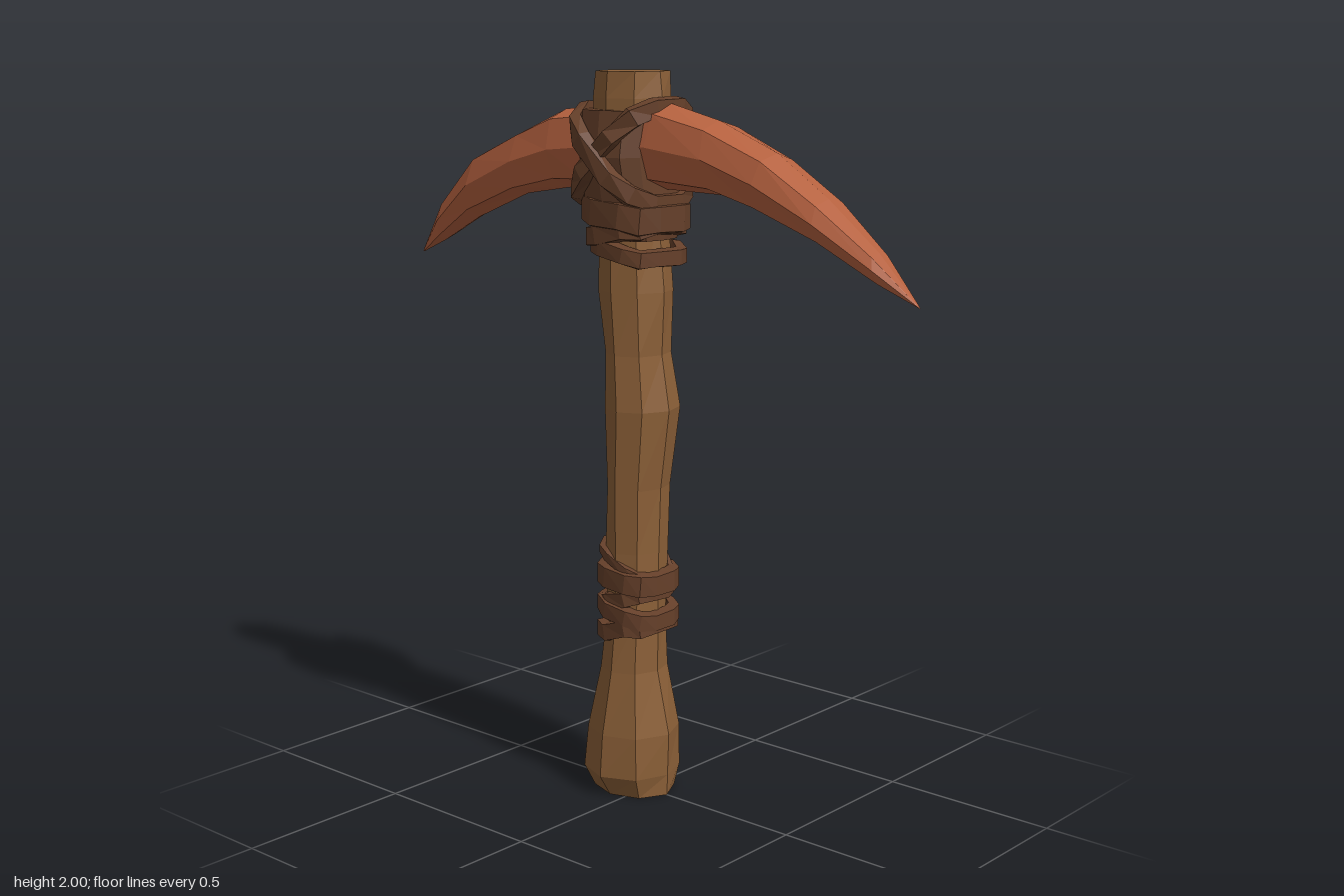
import * as THREE from 'three';

const V = (x, y, z) => new THREE.Vector3(x, y, z);
const material = (color) => new THREE.MeshStandardMaterial({ color, flatShading: true, roughness: 0.9 });
const wood = material(0x8c6038);
const horn = material(0xb5613f);
const leather = material(0x66402a);

// Repeatable unevenness in the range -1..1
const wobble = (i, j) => Math.sin(i * 12.9 + j * 7.3 + 1.7) * Math.cos(i * 3.1 - j * 5.7);

// Faceted skin over rings of points; rings run counter-clockwise about the direction of travel
function loft(rings, closed = false) {
  const out = [];
  const tri = (...ps) => ps.forEach((p) => out.push(p.x, p.y, p.z));
  const n = rings[0].length;
  const last = rings.length - 1;
  for (let i = 0; i < (closed ? last + 1 : last); i++) {
    const r = rings[i];
    const s = rings[(i + 1) % rings.length];
    for (let j = 0; j < n; j++) {
      const k = (j + 1) % n;
      tri(r[j], r[k], s[k]);
      tri(r[j], s[k], s[j]);
    }
  }
  if (!closed) {
    const middle = (r) => r.reduce((m, p) => m.add(p), V(0, 0, 0)).divideScalar(n);
    const a = middle(rings[0]);
    const b = middle(rings[last]);
    for (let j = 0; j < n; j++) {
      const k = (j + 1) % n;
      tri(a, rings[0][k], rings[0][j]);
      tri(b, rings[last][j], rings[last][k]);
    }
  }
  const geometry = new THREE.BufferGeometry();
  geometry.setAttribute('position', new THREE.Float32BufferAttribute(out, 3));
  geometry.computeVertexNormals();
  return geometry;
}

function part(name, geometry, mat) {
  const mesh = new THREE.Mesh(geometry, mat);
  mesh.name = name;
  return mesh;
}

// Upright post from rows of [y, centre x, centre z, radius x, radius z]
function post(rows, sides, rough, power = 1) {
  const soft = (v) => Math.sign(v) * Math.abs(v) ** power;
  return loft(rows.map(([y, cx, cz, rx, rz], i) =>
    Array.from({ length: sides }, (_, j) => {
      const a = (j / sides) * Math.PI * 2;
      const k = 1 + rough * wobble(i, j);
      return V(cx + rx * k * soft(Math.sin(a)), y, cz + rz * k * soft(Math.cos(a)));
    })));
}

// Flat strip wound once round the handle; tilt raises its front and lowers its back
function strap({ y, tilt = 0, z = -0.035, rx, rz, width, thick = 0.03, bulge = 0 }) {
  const count = 12;
  const soft = (v) => Math.sign(v) * Math.abs(v) ** 0.7;
  const path = Array.from({ length: count }, (_, i) => {
    const a = ((i + 0.5) / count) * Math.PI * 2;
    const s = soft(Math.sin(a));
    const c = soft(Math.cos(a));
    return V((rx + bulge * Math.abs(s)) * s, y + tilt * c + 0.006 * wobble(i, y * 10), z + rz * c);
  });
  return loft(path.map((p, i) => {
    const t = path[(i + 1) % count].clone().sub(path[(i + count - 1) % count]).normalize();
    const o = V(t.z, 0, -t.x).negate();
    if (o.dot(V(p.x, 0, p.z - z)) < 0) o.negate();
    o.normalize();
    const up = o.clone().cross(t).normalize();
    const w = (width / 2) * (1 + 0.14 * wobble(i, 3));
    return [[1, 1], [-1, 1], [-1, -1], [1, -1]].map(([v, d]) =>
      p.clone().addScaledVector(up, v * w * (d > 0 ? 0.8 : 1)).addScaledVector(o, d * thick / 2));
  }), true);
}

export function createModel() {
  const model = new THREE.Group();
  model.name = 'pickaxe';

  // Rough-hewn handle with a heavy butt
  model.add(part('handle', post([
    [0, 0, -0.045, 0.105, 0.12],
    [0.06, 0, -0.05, 0.132, 0.135],
    [0.18, 0, -0.048, 0.132, 0.13],
    [0.36, -0.006, -0.037, 0.096, 0.087],
    [0.52, -0.004, -0.032, 0.088, 0.08],
    [0.7, -0.004, -0.03, 0.088, 0.08],
    [0.88, 0, -0.025, 0.098, 0.08],
    [1.1, 0, -0.013, 0.108, 0.094],
    [1.25, 0, -0.025, 0.096, 0.085],
    [1.42, 0, -0.038, 0.102, 0.1],
    [1.6, 0, -0.04, 0.095, 0.09],
    [1.93, 0, -0.05, 0.105, 0.105],
    [2, 0, -0.045, 0.098, 0.096],
  ], 8, 0.035), wood));

  // Double-pointed curved head: [top z, top y, bottom z, bottom y, half width]
  const sections = [
    [-0.878, 1.462, -0.876, 1.458, 0.003],
    [-0.76, 1.62, -0.78, 1.5, 0.045],
    [-0.6, 1.765, -0.64, 1.575, 0.072],
    [-0.42, 1.84, -0.44, 1.655, 0.085],
    [-0.29, 1.893, -0.28, 1.68, 0.088],
    [-0.17, 1.905, -0.16, 1.69, 0.088],
    [0.08, 1.92, 0.06, 1.695, 0.09],
    [0.25, 1.88, 0.27, 1.69, 0.092],
    [0.44, 1.805, 0.41, 1.655, 0.09],
    [0.6, 1.70, 0.605, 1.585, 0.075],
    [0.753, 1.58, 0.775, 1.50, 0.045],
    [0.873, 1.459, 0.875, 1.455, 0.003],
  ];
  model.add(part('pickHead', loft(sections.map(([tz, ty, bz, by, hw], i) => {
    const top = V(0, ty, tz);
    const bottom = V(0, by, bz);
    const centre = top.clone().add(bottom).divideScalar(2);
    const up = top.sub(centre);
    return Array.from({ length: 8 }, (_, j) => {
      const a = (j / 8) * Math.PI * 2;
      const k = j % 2 ? 1.08 + 0.05 * wobble(i, j) : 1;
      return centre.clone().addScaledVector(up, Math.sin(a) * k).add(V(hw * k * Math.cos(a), 0, 0));
    });
  })), horn));

  // Leather packed round the joint
  model.add(part('jointWrap', post([
    [1.56, 0, -0.035, 0.1, 0.1],
    [1.66, 0, -0.04, 0.128, 0.118],
    [1.78, 0, -0.047, 0.145, 0.115],
    [1.9, 0, -0.05, 0.125, 0.12],
  ], 12, 0.02, 0.7), leather));

  // Crossed lashings over the head and rings below it
  const lashings = new THREE.Group();
  lashings.name = 'headLashings';
  [
    { y: 1.785, tilt: 0.125, z: -0.05, rx: 0.115, rz: 0.128, width: 0.055, bulge: 0.03 },
    { y: 1.775, tilt: -0.118, z: -0.05, rx: 0.12, rz: 0.124, width: 0.055, bulge: 0.034 },
    { y: 1.63, tilt: -0.015, rx: 0.118, rz: 0.118, width: 0.085 },
    { y: 1.58, tilt: 0.02, rx: 0.108, rz: 0.108, width: 0.06 },
    { y: 1.53, tilt: -0.02, z: -0.025, rx: 0.107, rz: 0.1, width: 0.05 },
  ].forEach((s, i) => lashings.add(part(`lashing${i + 1}`, strap(s), leather)));
  model.add(lashings);

  // Grip bands low on the handle
  const grip = new THREE.Group();
  grip.name = 'gripBands';
  [
    { y: 0.67, tilt: -0.04, rx: 0.082, rz: 0.08, width: 0.03, thick: 0.025 },
    { y: 0.625, tilt: -0.01, z: -0.028, rx: 0.09, rz: 0.088, width: 0.07 },
    { y: 0.565, tilt: 0.025, rx: 0.083, rz: 0.08, width: 0.05, thick: 0.025 },
    { y: 0.53, tilt: -0.02, z: -0.028, rx: 0.09, rz: 0.088, width: 0.055 },
    { y: 0.482, tilt: 0.018, z: -0.03, rx: 0.09, rz: 0.087, width: 0.055 },
  ].forEach((s, i) => grip.add(part(`gripBand${i + 1}`, strap(s), leather)));
  model.add(grip);

  return model;
}
